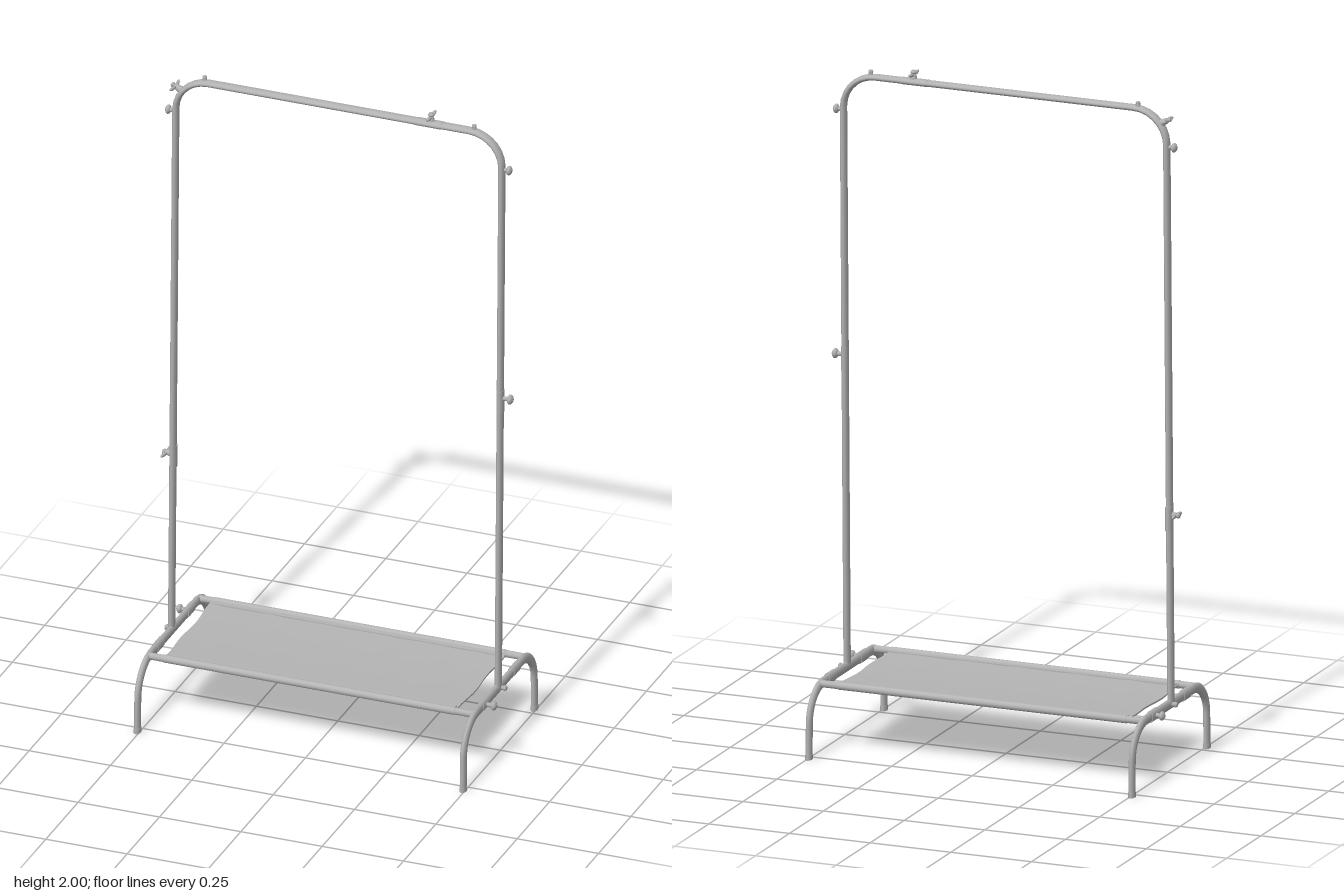
import * as THREE from 'three';

const V = (x, y, z) => new THREE.Vector3(x, y, z);

// Polyline path whose inner corners are rounded by radius r
function roundedPath(points, r) {
  const path = new THREE.CurvePath();
  let from = points[0];
  for (let i = 1; i < points.length - 1; i++) {
    const p = points[i];
    const a = p.clone().add(points[i - 1].clone().sub(p).setLength(r));
    const b = p.clone().add(points[i + 1].clone().sub(p).setLength(r));
    const k = 0.552;
    path.add(new THREE.LineCurve3(from, a));
    path.add(new THREE.CubicBezierCurve3(a, a.clone().lerp(p, k), b.clone().lerp(p, k), b));
    from = b;
  }
  path.add(new THREE.LineCurve3(from, points[points.length - 1]));
  return path;
}

export function createModel() {
  const model = new THREE.Group();
  const metal = new THREE.MeshStandardMaterial({ color: 0xb2b2b2 });
  metal.name = 'grey metal';
  const cloth = new THREE.MeshStandardMaterial({ color: 0xb4b4b4 });
  cloth.name = 'grey cloth';

  function add(name, geometry, material = metal, parent = model) {
    const mesh = new THREE.Mesh(geometry, material);
    mesh.name = name;
    parent.add(mesh);
    return mesh;
  }

  // Hanging frame: one flattened tube, deeper in z than it is thick
  const flat = 1.8;
  const hoop = roundedPath([
    V(-0.508, 0.2, 0.007 / flat), V(-0.499, 1.966, -0.005 / flat),
    V(0.503, 1.966, -0.005 / flat), V(0.496, 0.2, 0.007 / flat),
  ], 0.1);
  add('hangingFrame', new THREE.TubeGeometry(hoop, 200, 0.0092, 14).scale(1, 1, flat));

  // Sleeves where the frame tubes plug together
  function sleeve(name, x, y, length, horizontal) {
    const g = new THREE.CylinderGeometry(0.0102, 0.0102, length, 14);
    if (horizontal) g.rotateZ(Math.PI / 2);
    add(name, g.scale(1, 1, 1.75)).position.set(x, y, horizontal ? -0.005 : 0.001);
  }
  sleeve('leftUprightSleeve', -0.505, 0.755, 0.07);
  sleeve('rightUprightSleeve', 0.5, 1.12, 0.07);
  sleeve('topBarSleeve', 0.28, 1.966, 0.08, true);

  // Arched foot at each end, a tube flattened in x, with plugs under the legs
  for (const side of [-1, 1]) {
    const end = new THREE.Group();
    end.name = side < 0 ? 'rightFoot' : 'leftFoot';
    end.position.x = side < 0 ? -0.506 : 0.495;
    model.add(end);
    const arch = roundedPath([
      V(0, 0.004, 0.275), V(0, 0.203, 0.272), V(0, 0.203, -0.272), V(0, 0.004, -0.275),
    ], 0.1);
    add('footArch', new THREE.TubeGeometry(arch, 100, 0.0155, 14).scale(0.58, 1, 1), metal, end);
    for (const z of [-0.275, 0.275]) {
      add('footPlug', new THREE.CylinderGeometry(0.0165, 0.0165, 0.014, 14).scale(0.6, 1, 1), metal, end)
        .position.set(0, 0.007, z);
    }
    // Collars on the crossbar joints
    for (const z of [-0.12, 0.115]) {
      add('footCollar', new THREE.CylinderGeometry(0.0175, 0.0175, 0.05, 14).rotateX(Math.PI / 2).scale(0.62, 1, 1), metal, end)
        .position.set(0, 0.203, z);
    }
  }

  // Long shelf rails with cloth hems wrapped around them
  for (const z of [-0.197, 0.192]) {
    const where = z < 0 ? 'back' : 'front';
    add(where + 'Rail', new THREE.CylinderGeometry(0.0105, 0.0105, 1.0, 14).rotateZ(Math.PI / 2))
      .position.set(-0.005, 0.205, z);
    add(where + 'Hem', new THREE.CylinderGeometry(0.0118, 0.0118, 0.895, 14).rotateZ(Math.PI / 2), cloth)
      .position.set(-0.01, 0.205, z);
    add(where + 'HemSeam', new THREE.BoxGeometry(0.885, 0.004, 0.022), cloth)
      .position.set(-0.01, 0.209, z * 0.92);
  }

  // Cloth shelf: thin sheet with a slight sag and soft folds running across it
  const sheet = new THREE.BoxGeometry(0.9, 0.005, 0.385, 90, 1, 16);
  const pos = sheet.attributes.position;
  for (let i = 0; i < pos.count; i++) {
    const x = pos.getX(i), z = pos.getZ(i);
    const edge = Math.min(1, Math.abs(z) / 0.19);
    const folds = Math.sin(x * 38 + z * 4) + 0.6 * Math.sin(x * 71 - z * 7);
    pos.setY(i, pos.getY(i) - 0.004 * (1 - edge * edge) + 0.0009 * folds * edge);
    pos.setX(i, x + 0.003 * Math.sign(x) * Math.sin(z * 30) * (Math.abs(x) > 0.44 ? 1 : 0));
  }
  sheet.computeVertexNormals();
  add('clothShelf', sheet, cloth).position.set(-0.01, 0.206, -0.002);

  // Fasteners: stem and rounded head, optionally with a pair of wings along z
  function fastener(name, at, out, length, headRadius, wings = 0) {
    const g = new THREE.Group();
    g.name = name;
    g.position.copy(at);
    g.quaternion.setFromUnitVectors(V(0, 1, 0), out.normalize());
    model.add(g);
    add('stem', new THREE.CylinderGeometry(0.006, 0.007, length, 10), metal, g).position.y = length / 2;
    add('head', new THREE.SphereGeometry(headRadius, 12, 8).scale(1, 0.6, 1), metal, g).position.y = length - headRadius * 0.6;
    if (!wings) return;
    add('hub', new THREE.CylinderGeometry(0.008, 0.011, length * 0.6, 12), metal, g).position.y = length * 0.3;
    for (const s of [-1, 1]) {
      const wing = add('wing', new THREE.SphereGeometry(1, 10, 8).scale(0.006, 0.005, wings / 2), metal, g);
      wing.position.set(0, length * 0.62, s * wings / 2);
      wing.rotation.x = -s * 0.15;
    }
  }
  const L = () => V(-1, 0, 0), R = () => V(1, 0, 0), U = () => V(0, 1, 0);
  fastener('topWingNut', V(0.285, 1.971, -0.005), U(), 0.029, 0.009, 0.036);
  fastener('topBolt', V(-0.412, 1.97, -0.008), U(), 0.016, 0.007);
  fastener('topBolt', V(0.417, 1.97, -0.006), U(), 0.016, 0.007);
  fastener('cornerWingNut', V(-0.484, 1.93, -0.005), V(-1, 0.5, 0), 0.032, 0.008, 0.036);
  fastener('sideBolt', V(-0.503, 1.86, -0.005), L(), 0.028, 0.014);
  fastener('sideBolt', V(0.505, 1.86, -0.005), R(), 0.028, 0.014);
  fastener('uprightKnob', V(0.503, 1.13, 0.001), R(), 0.036, 0.015);
  fastener('uprightWingNut', V(-0.507, 0.765, 0.004), L(), 0.03, 0.009, 0.036);
  fastener('footKnob', V(0.498, 0.203, 0.117), R(), 0.037, 0.014);
  fastener('footKnob', V(-0.508, 0.203, -0.12), L(), 0.034, 0.014);
  fastener('footBolt', V(0.5, 0.203, 0.002), R(), 0.02, 0.009);
  fastener('footBolt', V(-0.51, 0.203, 0.002), L(), 0.02, 0.009);

  return model;
}
